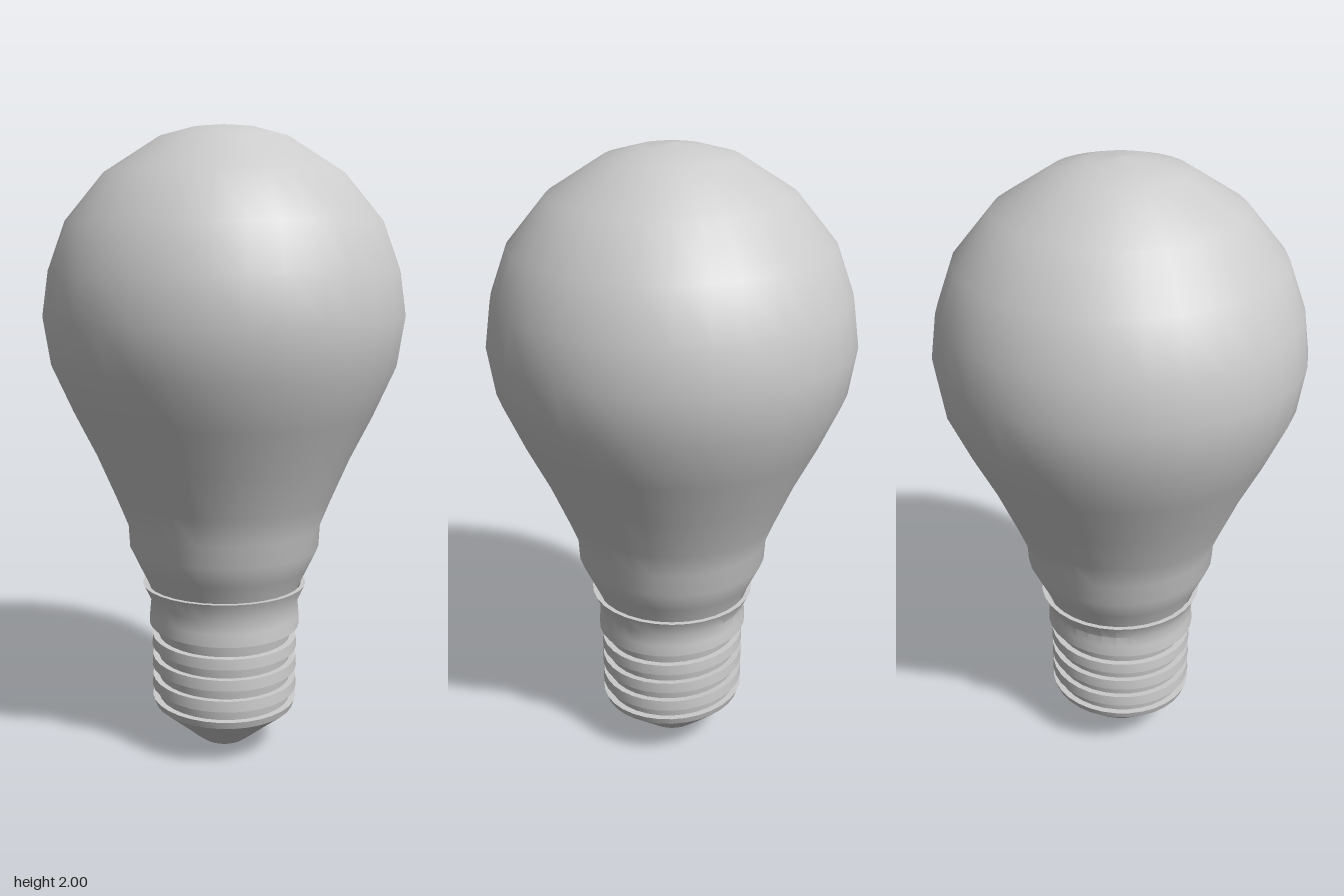
import * as THREE from 'three';
import { toCreasedNormals } from 'three/addons/utils/BufferGeometryUtils.js';

const SIDES = 32;

// Turned part from a list of [radius, height], bottom to top
function turned(profile) {
  return new THREE.LatheGeometry(profile.map(([r, y]) => new THREE.Vector2(r, y)), SIDES);
}

// Leans the screw threads: higher at the back, fading out at tip and lip
function leanThreads(geometry) {
  const p = geometry.attributes.position;
  for (let i = 0; i < p.count; i++) {
    const y = p.getY(i);
    const w = THREE.MathUtils.smoothstep(y, 0.03, 0.15) * (1 - THREE.MathUtils.smoothstep(y, 0.43, 0.54));
    p.setY(i, y - 0.045 * p.getZ(i) * w);
  }
  return toCreasedNormals(geometry, 0.6);
}

export function createModel() {
  const group = new THREE.Group();
  const material = new THREE.MeshStandardMaterial({ color: 0xcccccc, side: THREE.DoubleSide });
  const add = (name, geometry) => {
    const mesh = new THREE.Mesh(geometry, material);
    mesh.name = name;
    group.add(mesh);
  };

  // Smooth glass bulb, its neck tucked into the collar
  add('glassBulb', turned([
    [0.225, 0.5], [0.245, 0.555], [0.272, 0.61], [0.305, 0.68], [0.309, 0.75],
    [0.345, 0.84], [0.405, 0.98], [0.475, 1.12], [0.542, 1.27], [0.565, 1.42],
    [0.545, 1.56], [0.49, 1.71], [0.37, 1.855], [0.2, 1.963], [0.1, 1.99], [0, 2],
  ]));

  // Flared metal collar
  add('collar', leanThreads(turned([
    [0.215, 0.38], [0.22, 0.412], [0.245, 0.422], [0.243, 0.46],
    [0.239, 0.5], [0.265, 0.555], [0.25, 0.555], [0.228, 0.5],
  ])));

  // Screw base: square ridges separated by grooves
  const thread = [[0.228, 0.148], [0.236, 0.172]];
  for (let i = 0; i < 3; i++) {
    const y = 0.209 + i * 0.069;
    thread.push([0.215, y - 0.037], [0.22, y], [0.237, y - 0.002], [0.235, y + 0.033]);
  }
  thread.push([0.215, 0.38]);
  add('screwThread', leanThreads(turned(thread)));

  // Tapered insulator ending in the rounded contact
  add('contactTip', leanThreads(turned([
    [0, 0], [0.04, 0.004], [0.07, 0.017], [0.095, 0.035], [0.16, 0.09], [0.228, 0.148],
  ])));

  return group;
}
